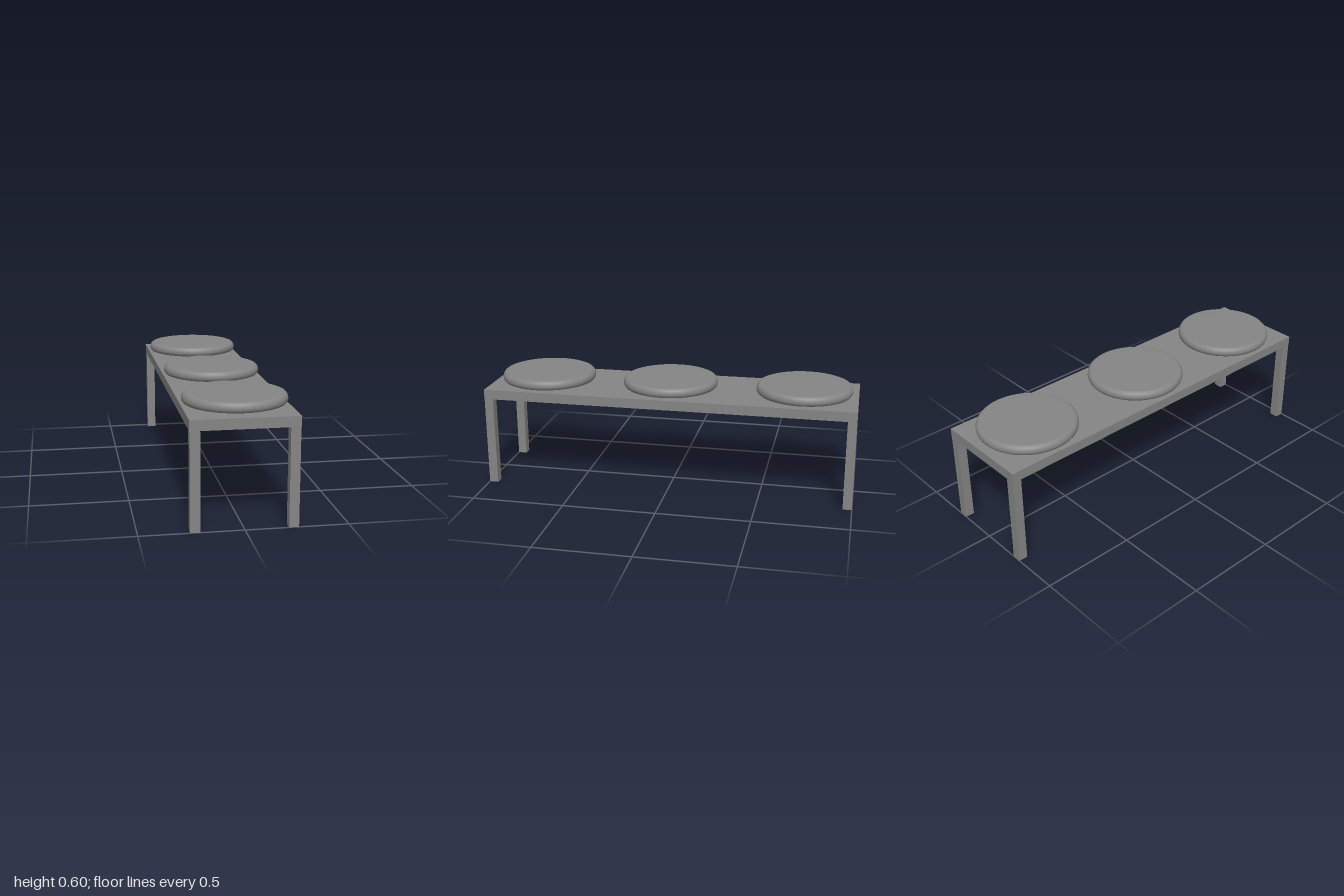
import * as THREE from 'three';

export function createModel() {
  const group = new THREE.Group();
  group.name = 'benchWithCushions';
  const material = new THREE.MeshStandardMaterial({ color: 0x858585 });
  const W = 0.26, L = 1, T = 0.048;      // half width, half length, bar thickness
  const bottom = 0.485, top = 0.537;     // frame heights

  const add = (name, geometry, x, y, z) => {
    const mesh = new THREE.Mesh(geometry, material);
    mesh.name = name;
    mesh.position.set(x, y, z);
    group.add(mesh);
  };

  // Rectangular frame, open in the middle
  const rect = (P, w, l) => {
    const p = new P();
    p.moveTo(-w, -l).lineTo(w, -l).lineTo(w, l).lineTo(-w, l).closePath();
    return p;
  };
  const outline = rect(THREE.Shape, W, L);
  outline.holes.push(rect(THREE.Path, W - T, L - T));
  const frame = new THREE.ExtrudeGeometry(outline, { depth: top - bottom, bevelEnabled: false });
  frame.rotateX(-Math.PI / 2);
  add('seatFrame', frame, 0, bottom, 0);

  // Thin panel closing the top of the frame
  const panelH = 0.003;
  add('seatPanel', new THREE.BoxGeometry(2 * (W - T), panelH, 2 * (L - T)), 0, top - panelH / 2, 0);

  // Four square legs
  const leg = new THREE.BoxGeometry(T, bottom, T);
  for (const sx of [-1, 1])
    for (const sz of [-1, 1])
      add('leg', leg, sx * (W - 0.002 - T / 2), bottom / 2, sz * (L - T / 2));

  // Three round cushions, softly shaded from centre to rim
  const profile = [
    [0, 0.539], [0.2, 0.539], [0.235, 0.545], [0.248, 0.549], [0.255, 0.557],
    [0.2575, 0.567], [0.2565, 0.578], [0.252, 0.588], [0.245, 0.595],
    [0.235, 0.599], [0, 0.599],
  ].map(([r, y]) => new THREE.Vector2(r, y));
  const cushion = new THREE.LatheGeometry(profile, 64);
  for (const z of [-0.712, 0.016, 0.708]) add('cushion', cushion, 0.001, 0, z);

  return group;
}
